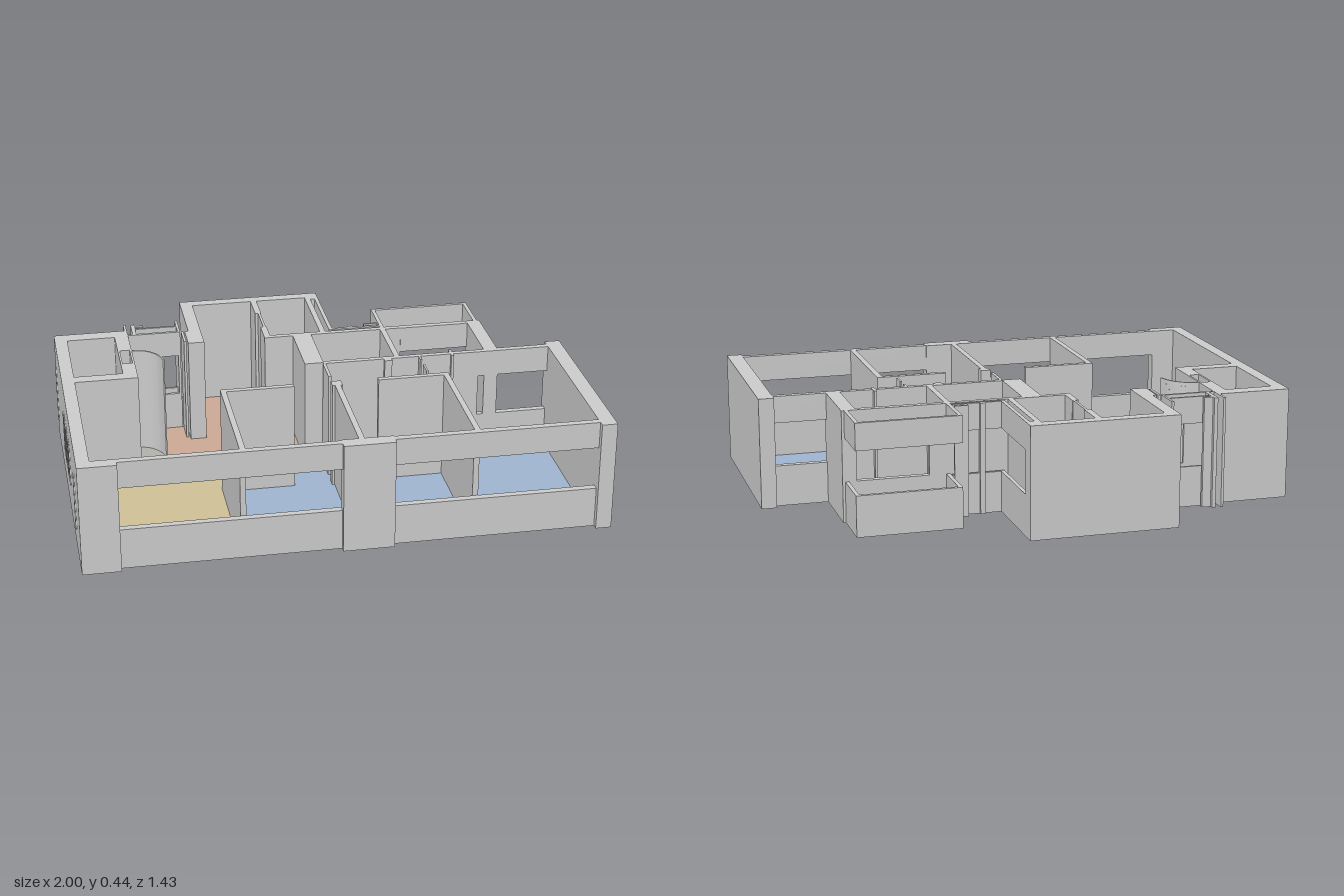
import * as THREE from 'three';

const H = 0.435, SILL = 0.16, HEAD = 0.33;
const grey = new THREE.MeshStandardMaterial({ color: 0xcccccc });

export function createModel() {
  const model = new THREE.Group();

  // One block of wall, given by its plan rectangle and height range
  const block = (parent, name, x0, x1, z0, z1, y0 = 0, y1 = H) => {
    const mesh = new THREE.Mesh(new THREE.BoxGeometry(x1 - x0, y1 - y0, z1 - z0), grey);
    mesh.position.set((x0 + x1) / 2, (y0 + y1) / 2, (z0 + z1) / 2);
    mesh.name = name;
    parent.add(mesh);
  };
  const walls = (name, list) => {
    const g = new THREE.Group();
    g.name = name;
    list.forEach((r) => block(g, 'wall', ...r));
    model.add(g);
  };
  // Wall with a window strip left open between sill and head
  const windows = (name, list) => {
    const g = new THREE.Group();
    g.name = name;
    list.forEach((r) => {
      block(g, 'sillWall', ...r, 0, SILL);
      block(g, 'headWall', ...r, HEAD, H);
    });
    model.add(g);
  };
  // Thin floor slab from a plan outline of [x, z] corners
  const floor = (name, color, pts, hole) => {
    const flip = (list) => list.map(([x, z]) => new THREE.Vector2(x, -z));
    const shape = new THREE.Shape(flip(pts));
    if (hole) shape.holes.push(new THREE.Path(flip(hole)));
    const geo = new THREE.ExtrudeGeometry(shape, { depth: 0.004, bevelEnabled: false });
    geo.rotateX(-Math.PI / 2);
    const mesh = new THREE.Mesh(geo, new THREE.MeshStandardMaterial({ color }));
    mesh.position.y = 0.002;
    mesh.name = name;
    model.add(mesh);
  };
  const rect = (x0, x1, z0, z1) => [[x0, z0], [x1, z0], [x1, z1], [x0, z1]];

  // Outer walls and piers
  walls('outerWalls', [
    [-0.995, -0.945, -0.46, 0.72],
    [-0.945, -0.85, 0.67, 0.72],
    [-0.03, 0.165, 0.665, 0.72],
    [0.94, 1, -0.05, 0.72],
    [0.68, 0.735, -0.31, 0.0],
    [-0.455, 0.125, -0.715, -0.67],
    [-0.455, -0.405, -0.67, -0.29],
    [0.07, 0.125, -0.67, -0.65],
  ]);
  windows('windowWalls', [
    [-0.85, -0.03, 0.67, 0.697],
    [0.165, 0.94, 0.67, 0.697],
    [0.735, 0.94, -0.025, 0.0],
    [0.4, 0.66, -0.31, -0.285],
  ]);

  // Corner room at the back, with a doorway to the hall
  walls('cornerRoom', [
    [-0.945, -0.7, -0.46, -0.4],
    [-0.755, -0.7, -0.4, -0.265],
    [-0.755, -0.7, -0.14, 0.0],
    [-0.945, -0.755, -0.05, 0.0],
    [-0.755, -0.747, -0.265, -0.14],
    [-0.708, -0.7, -0.265, -0.14],
  ]);

  // Partitions between the rooms
  walls('partitions', [
    [-0.405, -0.383, 0.165, 0.67],
    [-0.383, -0.12, 0.165, 0.187],
    [0.035, 0.057, 0.165, 0.67],
    [0.025, 0.065, 0.165, 0.205],
    [0.21, 0.49, 0.165, 0.187],
    [0.468, 0.49, 0.187, 0.67],
    [0.025, 0.037, 0.0, 0.12],
    [-0.045, 0.03, -0.29, -0.01],
    [-0.16, 0.4, -0.31, -0.287],
    [0.66, 0.68, -0.31, -0.287, 0, SILL],
    [0.66, 0.68, -0.31, -0.287, HEAD, H],
    [0.315, 0.337, -0.287, -0.022],
    [0.03, 0.655, -0.022, 0.0],
    [0.655, 0.68, -0.022, 0.0, 0, SILL],
    [0.655, 0.68, -0.022, 0.0, HEAD, H],
    [-0.16, -0.135, -0.67, -0.54],
    [-0.16, -0.135, -0.4, -0.31],
    [-0.148, -0.138, -0.54, -0.4],
    [0.07, 0.092, -0.65, -0.31],
    [0.41, 0.418, 0.0, 0.03],
    [0.41, 0.418, 0.08, 0.14],
    [0.27, 0.3, 0.0, 0.018],
    [0.54, 0.55, -0.045, 0.015],
  ]);

  // Service niche with narrow upright fins
  walls('serviceFins', [
    [-0.71, -0.7, -0.52, -0.46],
    [-0.68, -0.665, -0.515, -0.41],
    [-0.665, -0.63, -0.5, -0.485],
    [-0.7, -0.58, -0.42, -0.408],
    [-0.498, -0.488, -0.525, -0.41],
    [-0.47, -0.455, -0.41, -0.29],
    [-0.485, -0.475, -0.41, -0.31],
  ]);
  windows('serviceNiche', [
    [-0.665, -0.498, -0.475, -0.465],
    [-0.58, -0.498, -0.42, -0.408],
  ]);

  // Balcony parapets with a raised band above
  windows('balcony', [
    [0.32, 0.725, -0.5, -0.485],
    [0.32, 0.335, -0.485, -0.31],
    [0.71, 0.725, -0.485, -0.31],
    [0.11, 0.125, -0.65, -0.335],
    [0.11, 0.32, -0.335, -0.322],
  ]);
  walls('balconyFins', [
    [0.19, 0.21, -0.345, -0.322],
    [0.26, 0.315, -0.36, -0.352],
  ]);

  // Half-open door leaf in the hall
  const swing = new THREE.CatmullRomCurve3(
    [[-0.7, -0.26], [-0.645, -0.245], [-0.605, -0.205], [-0.585, -0.15]]
      .map(([x, z]) => new THREE.Vector3(x, 0, z)));
  const pts = swing.getPoints(10);
  const doorGroup = new THREE.Group();
  doorGroup.name = 'curvedDoorScreen';
  for (let i = 0; i < 10; i++) {
    const a = pts[i], b = pts[i + 1];
    const panel = new THREE.Mesh(new THREE.BoxGeometry(a.distanceTo(b) + 0.002, H, 0.006), grey);
    panel.position.set((a.x + b.x) / 2, H / 2, (a.z + b.z) / 2);
    panel.rotation.y = -Math.atan2(b.z - a.z, b.x - a.x);
    panel.name = 'doorPanel';
    doorGroup.add(panel);
  }
  model.add(doorGroup);

  // Slats on the outside of the side wall
  const slats = new THREE.Group();
  slats.name = 'sideSlats';
  for (let i = 0; i < 9; i++) {
    const z = 0.03 + i * 0.035;
    block(slats, 'slat', -1, -0.995, z, z + 0.012, SILL, HEAD);
  }
  [-0.385, 0.54].forEach((z) => block(slats, 'longSlat', -1, -0.995, z, z + 0.015, 0.1, HEAD));
  model.add(slats);

  // Coloured floors
  const blue = 0xa0b4cf, teal = 0x98c2bf, dark = 0xa3a3a3;
  floor('livingFloor', 0xcfc096, [[-0.945, 0], [-0.7, 0], [-0.7, -0.14], [-0.575, -0.14],
    [-0.32, 0.085], [-0.32, 0.165], [-0.395, 0.165], [-0.395, 0.67], [-0.945, 0.67]]);
  floor('hallFloor', 0xcda895, [[-0.7, -0.41], [-0.405, -0.41], [-0.405, -0.67], [-0.148, -0.67],
    [-0.148, -0.3], [-0.04, -0.3], [-0.04, -0.07], [-0.115, -0.07], [-0.26, 0.075],
    [-0.32, 0.085], [-0.575, -0.14], [-0.605, -0.205], [-0.645, -0.245], [-0.7, -0.26]]);
  floor('bedroomFloor', blue, [[-0.32, 0.085], [-0.26, 0.075], [-0.115, -0.07], [-0.04, -0.07],
    [-0.04, -0.01], [0.94, -0.01], [0.94, 0.67], [-0.395, 0.67], [-0.395, 0.165], [-0.32, 0.165]]);
  floor('entryFloor', 0xb2b2ac, [[-0.7, -0.26], [-0.645, -0.245], [-0.605, -0.205],
    [-0.575, -0.14], [-0.7, -0.14]]);
  floor('kitchenFloor', 0xb2b4ac, rect(-0.148, 0.07, -0.67, -0.31),
    [[-0.135, -0.545], [-0.075, -0.51], [-0.135, -0.475]]);
  floor('bathFloorA', teal, rect(0.03, 0.315, -0.287, -0.022));
  floor('bathFloorB', teal, rect(0.337, 0.68, -0.287, -0.022));
  floor('cornerRoomFloor', 0x9d9ba7, rect(-0.945, -0.755, -0.4, -0.05));
  floor('balconyFloor', dark, rect(0.335, 0.71, -0.485, -0.31));
  floor('nicheFloor', 0xb0b0ac, rect(-0.665, -0.498, -0.465, -0.42));
  return model;
}
